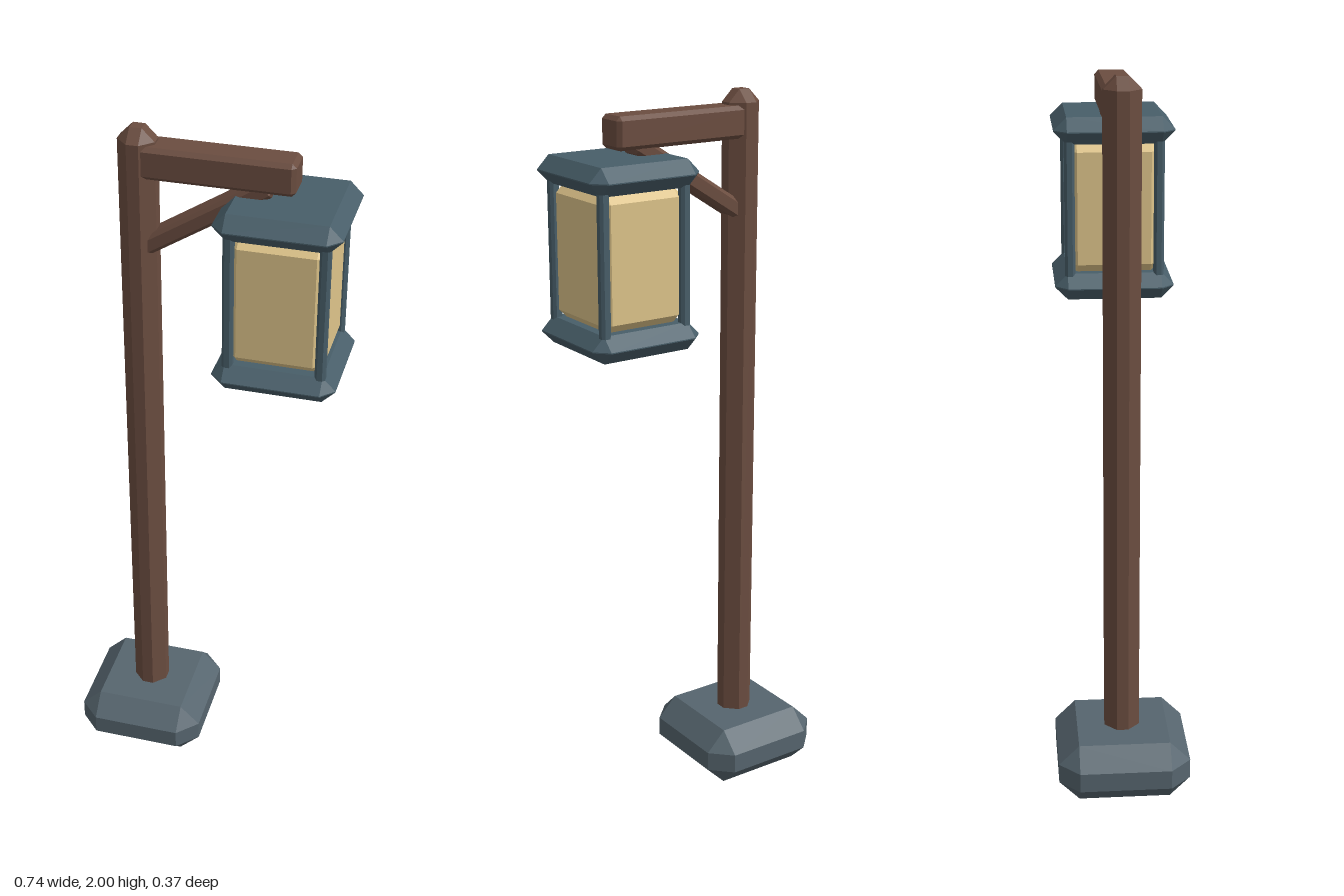
import * as THREE from 'three';
import { ConvexGeometry } from 'three/addons/geometries/ConvexGeometry.js';

const paint = (color) => new THREE.MeshStandardMaterial({ color, flatShading: true });

// Box with every edge and corner cut off by c
function chamferBox(w, h, d, c) {
  const [x, y, z] = [w / 2, h / 2, d / 2];
  const points = [];
  for (const sx of [-1, 1]) for (const sy of [-1, 1]) for (const sz of [-1, 1]) {
    points.push(
      new THREE.Vector3(sx * x, sy * (y - c), sz * (z - c)),
      new THREE.Vector3(sx * (x - c), sy * y, sz * (z - c)),
      new THREE.Vector3(sx * (x - c), sy * (y - c), sz * z),
    );
  }
  return new ConvexGeometry(points);
}

export function createModel() {
  const model = new THREE.Group();
  model.name = 'lampPost';
  const wood = paint(0x6b4d40);
  const stone = paint(0x56656e);
  const metal = paint(0x485e69);
  const glass = paint(0xdec48a);

  function add(parent, name, material, size, c, position) {
    const mesh = new THREE.Mesh(chamferBox(...size, c), material);
    mesh.name = name;
    mesh.position.set(...position);
    parent.add(mesh);
    return mesh;
  }

  // Stone foot, post and arm
  add(model, 'base', stone, [0.37, 0.17, 0.37], 0.057, [-0.185, 0.085, 0]);
  add(model, 'post', wood, [0.098, 1.94, 0.098], 0.033, [-0.185, 1.03, 0]);
  add(model, 'arm', wood, [0.412, 0.087, 0.09], 0.011, [0.021, 1.917, 0]);

  // Diagonal brace from the post up into the arm
  const from = new THREE.Vector2(-0.185, 1.667);
  const to = new THREE.Vector2(0.16, 1.886);
  const brace = add(model, 'brace', wood, [from.distanceTo(to), 0.049, 0.07], 0.01,
    [(from.x + to.x) / 2, (from.y + to.y) / 2, 0]);
  brace.rotation.z = Math.atan2(to.y - from.y, to.x - from.x);

  // Lantern: two caps, glass body and four corner bars
  const lantern = new THREE.Group();
  lantern.name = 'lantern';
  lantern.position.set(0.203, 1.605, 0);
  model.add(lantern);
  add(lantern, 'topCap', metal, [0.328, 0.073, 0.328], 0.035, [0, 0.214, 0]);
  add(lantern, 'bottomCap', metal, [0.328, 0.073, 0.328], 0.035, [0, -0.214, 0]);
  add(lantern, 'glass', glass, [0.252, 0.36, 0.252], 0.025, [0, 0, 0]);
  for (const sx of [-1, 1]) for (const sz of [-1, 1]) {
    add(lantern, 'cornerBar', metal, [0.028, 0.4, 0.028], 0.007, [sx * 0.122, 0, sz * 0.122]);
  }
  return model;
}
